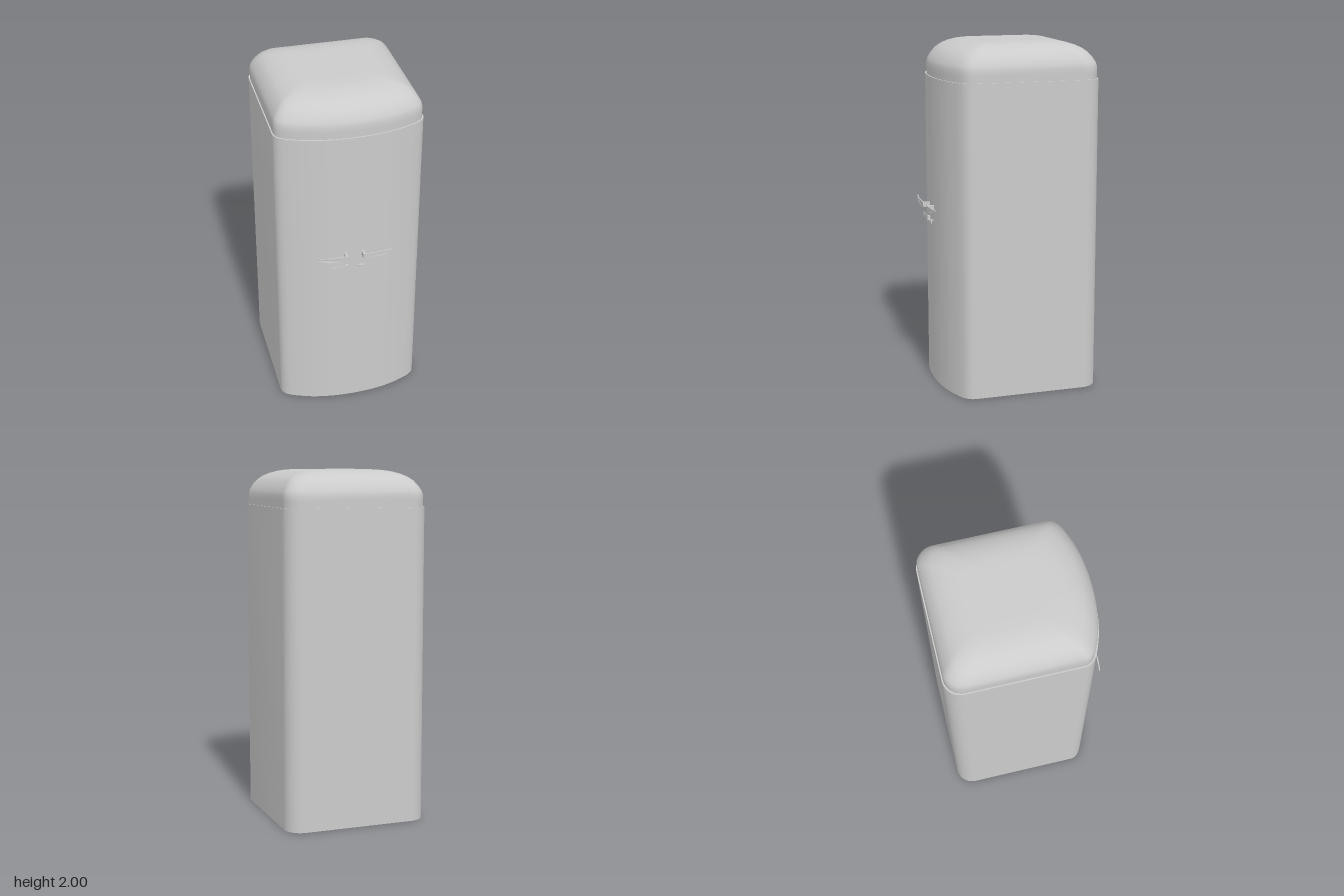
import * as THREE from 'three';
import { toCreasedNormals } from 'three/addons/utils/BufferGeometryUtils.js';

const material = new THREE.MeshStandardMaterial({ color: 0xcccccc });

function part(name, geometry, parent, x = 0, y = 0, z = 0) {
  const mesh = new THREE.Mesh(geometry, material);
  mesh.name = name;
  mesh.position.set(x, y, z);
  parent.add(mesh);
  return mesh;
}

// Floor plan drawn in (x, -z): rounded back corners and a bowed front
function footprint() {
  const s = new THREE.Shape();
  s.moveTo(0.417, -0.27);
  s.lineTo(0.417, 0.365);
  s.absarc(0.317, 0.365, 0.1, 0, Math.PI / 2);
  s.lineTo(-0.317, 0.465);
  s.absarc(-0.317, 0.365, 0.1, Math.PI / 2, Math.PI);
  s.lineTo(-0.417, -0.27);
  s.bezierCurveTo(-0.417, -0.325, -0.375, -0.347, -0.3, -0.374);
  s.bezierCurveTo(-0.14, -0.438, 0.14, -0.438, 0.3, -0.374);
  s.bezierCurveTo(0.375, -0.347, 0.417, -0.325, 0.417, -0.27);
  return s;
}

// Domed lid: the floor plan shrunk ring by ring towards the top
function lidGeometry(shape) {
  const outline = shape.getPoints(12);
  outline.pop();
  const rings = [
    [0.984, 1.79], [0.984, 1.83], [0.984, 1.86], [0.968, 1.885], [0.93, 1.913], [0.88, 1.94],
    [0.82, 1.96], [0.74, 1.977], [0.65, 1.989], [0.56, 1.996], [0.46, 2], [0.3, 2],
  ];
  const centreZ = -0.03, n = outline.length, positions = [], index = [];
  for (const [s, y] of rings) {
    for (const p of outline) positions.push(p.x * s, y, centreZ + (-p.y - centreZ) * s);
  }
  positions.push(0, 2, centreZ);
  const apex = rings.length * n;
  for (let r = 0; r < rings.length; r++) {
    for (let i = 0; i < n; i++) {
      const a = r * n + i, b = r * n + (i + 1) % n;
      if (r === rings.length - 1) index.push(a, b, apex);
      else index.push(a, b, b + n, a, b + n, a + n);
    }
  }
  const g = new THREE.BufferGeometry();
  g.setAttribute('position', new THREE.Float32BufferAttribute(positions, 3));
  g.setIndex(index);
  g.computeVertexNormals();
  return g;
}

// Wing-shaped grip whose tip bends outwards; side is 1 or -1
function bladeGeometry(side) {
  const s = new THREE.Shape();
  s.moveTo(side * 0.043, 1.035);
  s.quadraticCurveTo(side * 0.043, 1.03, side * 0.055, 1.03);
  s.bezierCurveTo(side * 0.12, 1.03, side * 0.18, 1.04, side * 0.214, 1.06);
  s.lineTo(side * 0.214, 1.071);
  s.quadraticCurveTo(side * 0.18, 1.063, side * 0.14, 1.063);
  s.lineTo(side * 0.05, 1.063);
  s.quadraticCurveTo(side * 0.043, 1.063, side * 0.043, 1.056);
  const g = new THREE.ExtrudeGeometry(s, { depth: 0.006, bevelEnabled: false, curveSegments: 12 });
  const p = g.attributes.position;
  for (let i = 0; i < p.count; i++) {
    const t = Math.max(0, (Math.abs(p.getX(i)) - 0.14) / 0.075);
    p.setZ(i, p.getZ(i) + 0.458 - 0.008 * t * t);
  }
  return toCreasedNormals(g, 0.6);
}

export function createModel() {
  const model = new THREE.Group();
  model.name = 'cabinet';
  const shape = footprint();

  // Tall body and lid
  const body = new THREE.ExtrudeGeometry(shape, { depth: 1.795, bevelEnabled: false, curveSegments: 16 });
  body.rotateX(-Math.PI / 2);
  part('body', toCreasedNormals(body, 0.6), model);
  part('lid', lidGeometry(shape), model);

  // Pair of door handles on short posts
  for (const side of [1, -1]) {
    const handle = new THREE.Group();
    handle.name = side > 0 ? 'leftHandle' : 'rightHandle';
    part('grip', bladeGeometry(side), handle);
    part('post', new THREE.BoxGeometry(0.012, 0.03, 0.048), handle, side * 0.05, 1.046, 0.436);
    model.add(handle);
  }

  // Latch plate with a raised tab, standing off the right door
  const latch = new THREE.Group();
  latch.name = 'latch';
  part('plate', new THREE.BoxGeometry(0.108, 0.03, 0.003), latch, -0.09, 0.968, 0.437);
  part('tab', new THREE.BoxGeometry(0.04, 0.014, 0.003), latch, -0.118, 0.968, 0.439);
  part('mount', new THREE.BoxGeometry(0.016, 0.026, 0.022), latch, -0.044, 0.968, 0.427);
  model.add(latch);

  // Small catch on the left door
  const catchGroup = new THREE.Group();
  catchGroup.name = 'catch';
  part('bar', new THREE.BoxGeometry(0.03, 0.01, 0.012), catchGroup, 0.038, 0.97, 0.436);
  const pin = part('pin', new THREE.CylinderGeometry(0.005, 0.005, 0.03, 12), catchGroup, 0.038, 0.97, 0.43);
  pin.rotation.x = Math.PI / 2;
  part('tongue', new THREE.BoxGeometry(0.004, 0.026, 0.006), catchGroup, 0.044, 0.966, 0.436);
  model.add(catchGroup);

  return model;
}
